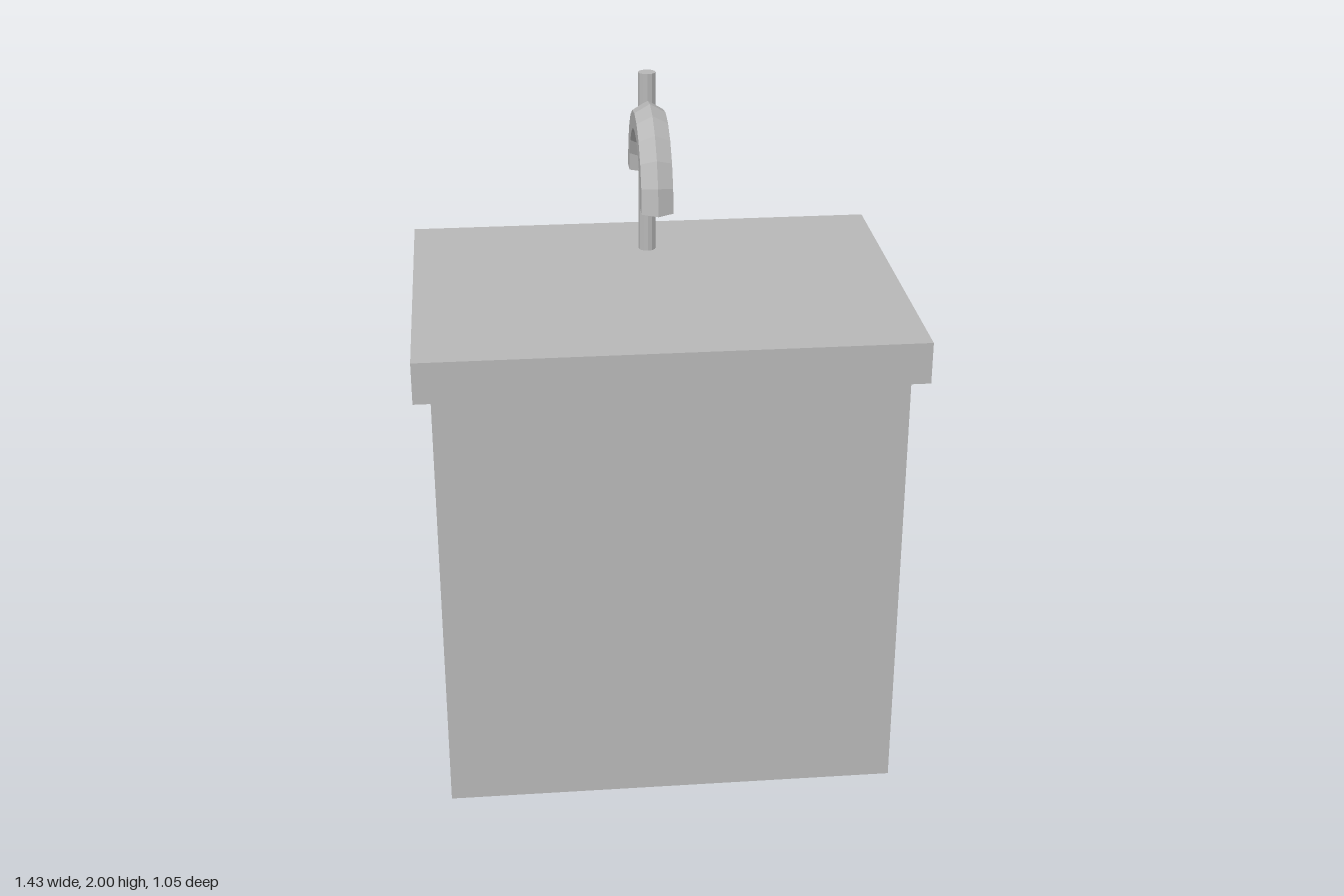
import * as THREE from 'three';

export function createModel() {
  const group = new THREE.Group();
  const grey = new THREE.MeshStandardMaterial({ color: 0xb8b8b8, flatShading: true });
  grey.name = 'plain grey';

  const add = (parent, name, geometry, x, y, z) => {
    const mesh = new THREE.Mesh(geometry, grey);
    mesh.name = name;
    mesh.position.set(x, y, z);
    parent.add(mesh);
    return mesh;
  };

  // Cabinet body and overhanging worktop
  add(group, 'cabinet', new THREE.BoxGeometry(1.33, 1.325, 0.98), 0, 0.6625, 0);
  add(group, 'worktop', new THREE.BoxGeometry(1.426, 0.122, 1.046), 0, 1.386, 0);

  // Upright pipe through the spout
  add(group, 'pipe', new THREE.CylinderGeometry(0.026, 0.026, 0.555, 12), 0, 1.7225, -0.288);

  // Half-ring spout with a six-sided section, running front to back
  const R = 0.205, r = 0.053;
  const spout = new THREE.Group();
  spout.name = 'spout';
  spout.position.set(0, 1.673, -0.19);
  spout.rotation.y = Math.PI / 2;
  add(spout, 'spoutArch', new THREE.TorusGeometry(R, r, 6, 10, Math.PI), 0, 0, 0);

  // Caps closing both spout ends
  for (const side of [-1, 1]) {
    add(spout, 'spoutEnd', new THREE.CircleGeometry(r, 6).rotateX(Math.PI / 2), side * R, 0, 0);
  }
  group.add(spout);
  return group;
}
